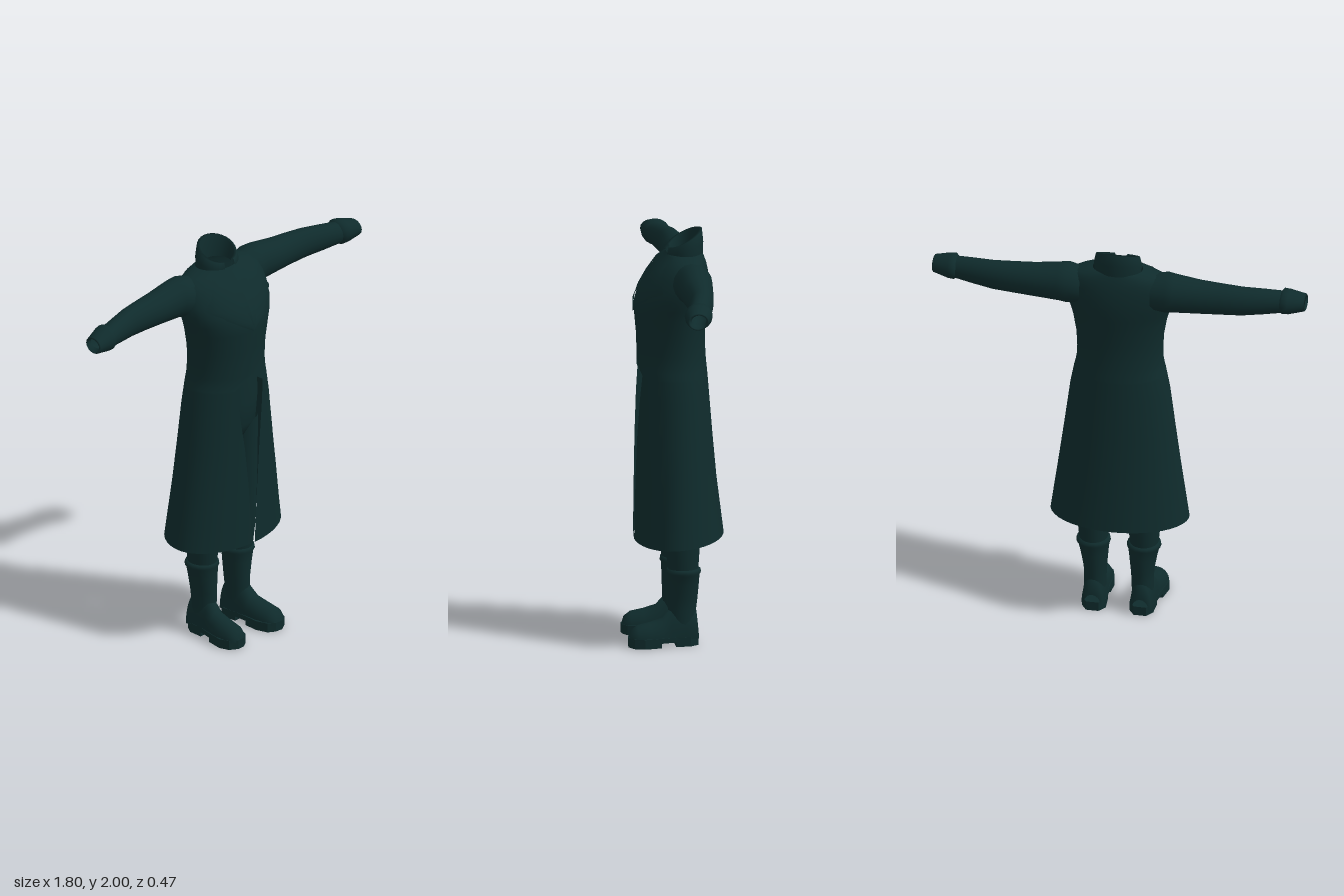
import * as THREE from 'three';

const cloth = new THREE.MeshStandardMaterial({ color: 0x0f2b2c, side: THREE.DoubleSide });
cloth.name = 'dark teal cloth';

// Coat profile, hem to neck: y, half width, front z, back z, centre z
const PROFILE = [
  [0.5, 0.333, 0.19, -0.234, 0], [0.8, 0.292, 0.187, -0.2, 0], [1.0, 0.265, 0.184, -0.182, 0],
  [1.2, 0.24, 0.18, -0.166, 0], [1.3, 0.221, 0.178, -0.158, 0], [1.31, 0.219, 0.178, -0.157, 0],
  [1.34, 0.212, 0.177, -0.154, 0], [1.37, 0.207, 0.176, -0.151, 0], [1.42, 0.205, 0.176, -0.148, 0],
  [1.5, 0.209, 0.179, -0.146, 0], [1.6, 0.226, 0.188, -0.155, 0], [1.65, 0.24, 0.188, -0.161, 0],
  [1.7, 0.256, 0.172, -0.165, -0.01], [1.75, 0.262, 0.145, -0.165, -0.025], [1.8, 0.26, 0.112, -0.16, -0.04],
  [1.84, 0.245, 0.08, -0.152, -0.05], [1.87, 0.2, 0.05, -0.142, -0.055], [1.89, 0.12, 0.035, -0.133, -0.055],
];

// Half width of the front opening: y, x
const OPENING = [[0.5, 0.008], [0.8, 0.03], [1.0, 0.05], [1.2, 0.078], [1.31, 0.093], [1.37, 0]];

// Linear lookup in a table sorted by its first column
function lookup(table, v) {
  let i = 0;
  while (i < table.length - 2 && table[i + 1][0] < v) i++;
  const a = table[i], b = table[i + 1];
  const t = THREE.MathUtils.clamp((v - a[0]) / (b[0] - a[0]), 0, 1);
  return a.map((n, k) => n + (b[k] - n) * t);
}

// Skin a surface over rows of [x, y, z] points
function loft(rows, closed = false) {
  const n = rows[0].length, index = [];
  for (let i = 0; i < rows.length - 1; i++) {
    for (let j = 0; j < (closed ? n : n - 1); j++) {
      const k = (j + 1) % n, a = i * n, b = a + n;
      index.push(a + j, a + k, b + k, a + j, b + k, b + j);
    }
  }
  const g = new THREE.BufferGeometry();
  g.setAttribute('position', new THREE.Float32BufferAttribute(rows.flat(2), 3));
  g.setIndex(index);
  g.computeVertexNormals();
  return g;
}

// Horizontal elliptical sections: y, centre x, half width, front z, back z
function tower(sections, n = 18) {
  return loft(sections.map(([y, cx, w, f, b]) => Array.from({ length: n }, (_, j) => {
    const a = j / n * Math.PI * 2;
    return [cx + w * Math.sin(a), y, (f + b) / 2 + (f - b) / 2 * Math.cos(a)];
  })), true);
}

// Sections across the arm: x, top y, bottom y, front z, back z
function sleeve(sections, n = 16) {
  return loft(sections.map(([x, t, b, f, r]) => Array.from({ length: n }, (_, j) => {
    const a = j / n * Math.PI * 2;
    return [x, (t + b) / 2 + (t - b) / 2 * Math.cos(a), (f + r) / 2 + (f - r) / 2 * Math.sin(a)];
  })), true);
}

// Flat plate from an [x, z] outline
function plate(outline, y, height) {
  const shape = new THREE.Shape(outline.map(([x, z]) => new THREE.Vector2(x, -z)));
  return new THREE.ExtrudeGeometry(shape, { depth: height, bevelEnabled: false })
    .rotateX(-Math.PI / 2).translate(0, y, 0);
}

// Copy reflected in x with its faces turned back outward
function mirrored(geometry) {
  const g = geometry.index ? geometry.toNonIndexed() : geometry.clone();
  g.scale(-1, 1, 1);
  for (const attr of Object.values(g.attributes)) {
    for (let i = 0; i < attr.count; i += 3) {
      for (let c = 0; c < attr.itemSize; c++) {
        const t = attr.getComponent(i + 1, c);
        attr.setComponent(i + 1, c, attr.getComponent(i + 2, c));
        attr.setComponent(i + 2, c, t);
      }
    }
  }
  return g;
}

// Coat body, split down the front below the waist
function coatBody() {
  const N = 40;
  return loft(PROFILE.map(([y, w, f, b, c], row) => {
    const open = y < 1.37 ? lookup(OPENING, y)[1] : 0;
    const a0 = Math.asin(open / w);
    return Array.from({ length: N + 1 }, (_, j) => {
      const a = a0 + (2 * Math.PI - 2 * a0) * j / N, cos = Math.cos(a);
      const hem = row === 0 ? 0.01 - 0.018 * cos : 0;
      return [w * Math.sin(a), y + hem, c + cos * (cos > 0 ? f - c : c - b)];
    });
  }));
}

// Lapel lying just above the chest: inner x, y and outer x, y per row
function lapel() {
  const rows = [
    [0, 1.615, 0.006, 1.607], [0.015, 1.66, 0.11, 1.665], [0.03, 1.715, 0.222, 1.738],
    [0.045, 1.77, 0.18, 1.79], [0.055, 1.83, 0.145, 1.84], [0.06, 1.885, 0.108, 1.885],
  ];
  return loft(rows.map(([xi, yi, xo, yo]) => Array.from({ length: 9 }, (_, j) => {
    const x = xi + (xo - xi) * j / 8, y = yi + (yo - yi) * j / 8;
    const [, w, f, , c] = lookup(PROFILE, y);
    return [x, y, c + (f - c) * Math.sqrt(Math.max(0, 1 - (x / w) ** 2)) + 0.009];
  })));
}

// Standing collar, open at the throat, rising toward the back, with an inner wall
function collar() {
  const rings = [[0, 0.112, 0.088], [0.5, 0.115, 0.09], [1, 0.105, 0.084], [1, 0.09, 0.07], [0, 0.085, 0.065]];
  return loft(rings.map(([t, w, d]) => Array.from({ length: 25 }, (_, j) => {
    const a = 0.3 + (2 * Math.PI - 0.6) * j / 24;
    const back = (1 - Math.cos(a)) / 2;
    const low = 1.86 + 0.025 * back, high = 1.915 + 0.085 * back;
    return [w * Math.sin(a), low + (high - low) * t, -0.05 + d * Math.cos(a)];
  })));
}

// Rounded boot upper along z: z, centre x, half width, height
function foot() {
  const rows = [
    [-0.1, 0.116, 0.04, 0.05], [-0.092, 0.116, 0.052, 0.13], [-0.04, 0.116, 0.056, 0.16], [0.03, 0.12, 0.057, 0.145],
    [0.07, 0.126, 0.06, 0.1], [0.13, 0.131, 0.066, 0.08], [0.19, 0.135, 0.062, 0.067],
    [0.22, 0.135, 0.046, 0.045], [0.23, 0.135, 0.025, 0.01],
  ];
  return loft(rows.map(([z, cx, w, h]) => Array.from({ length: 13 }, (_, j) => {
    const a = Math.PI / 2 - Math.PI * j / 12;
    return [cx + w * Math.sin(a), 0.035 + h * Math.cos(a), z];
  })));
}

export function createModel() {
  const model = new THREE.Group();
  model.name = 'longCoatOutfit';
  const add = (name, geometry) => {
    const mesh = new THREE.Mesh(geometry, cloth);
    mesh.name = name;
    model.add(mesh);
  };
  const pair = (name, geometry) => {
    add(name + 'Left', geometry);
    add(name + 'Right', mirrored(geometry));
  };

  add('coatBody', coatBody());
  add('collar', collar());
  pair('lapel', lapel());

  // Hollow sleeves and flared cuffs
  pair('sleeve', sleeve([
    [0.17, 1.87, 1.69, 0.02, -0.14], [0.24, 1.886, 1.685, 0.035, -0.155], [0.28, 1.882, 1.692, 0.022, -0.15],
    [0.4, 1.865, 1.698, 0.012, -0.138], [0.5, 1.858, 1.702, 0.005, -0.126], [0.6, 1.85, 1.705, 0.002, -0.113],
    [0.7, 1.84, 1.712, 0.018, -0.09], [0.8, 1.828, 1.722, 0.035, -0.068],
  ]));
  pair('cuff', sleeve([
    [0.78, 1.826, 1.725, 0.035, -0.07], [0.795, 1.842, 1.716, 0.05, -0.084], [0.82, 1.838, 1.717, 0.051, -0.08],
    [0.895, 1.815, 1.733, 0.046, -0.052], [0.9, 1.808, 1.74, 0.038, -0.046], [0.87, 1.8, 1.75, 0.025, -0.045],
  ]));

  // Trousers
  add('trouserHips', tower([
    [0.99, 0, 0.03, 0.03, -0.04], [1.01, 0, 0.12, 0.09, -0.11], [1.08, 0, 0.175, 0.125, -0.135],
    [1.2, 0, 0.18, 0.135, -0.13], [1.4, 0, 0.165, 0.13, -0.12],
  ]));
  pair('trouserLeg', tower([
    [0.34, 0.122, 0.066, 0.04, -0.1], [0.5, 0.123, 0.079, 0.058, -0.11], [0.65, 0.118, 0.08, 0.07, -0.11],
    [0.85, 0.108, 0.085, 0.085, -0.115], [1.08, 0.094, 0.09, 0.1, -0.12],
  ]));

  // Boots
  pair('bootShaft', tower([
    [0.1, 0.115, 0.052, 0.04, -0.09], [0.17, 0.114, 0.053, 0.042, -0.092], [0.22, 0.114, 0.056, 0.042, -0.098],
    [0.3, 0.118, 0.067, 0.044, -0.105], [0.345, 0.121, 0.075, 0.046, -0.108], [0.355, 0.122, 0.082, 0.052, -0.114],
    [0.37, 0.122, 0.08, 0.05, -0.112], [0.375, 0.122, 0.068, 0.04, -0.1],
  ]));
  pair('bootFoot', foot());
  const toe = [[0.19, 0.08], [0.205, 0.16], [0.19, 0.21], [0.15, 0.235], [0.11, 0.232], [0.075, 0.21], [0.057, 0.15], [0.062, 0.08]];
  const heel = [[0.062, 0.01], [0.057, -0.06], [0.085, -0.1], [0.145, -0.1], [0.172, -0.06], [0.175, 0.01]];
  pair('bootSole', plate([...toe, ...heel], 0.022, 0.024));
  pair('toeTread', plate(toe, 0, 0.022));
  pair('heelTread', plate(heel, 0, 0.022));
  return model;
}
